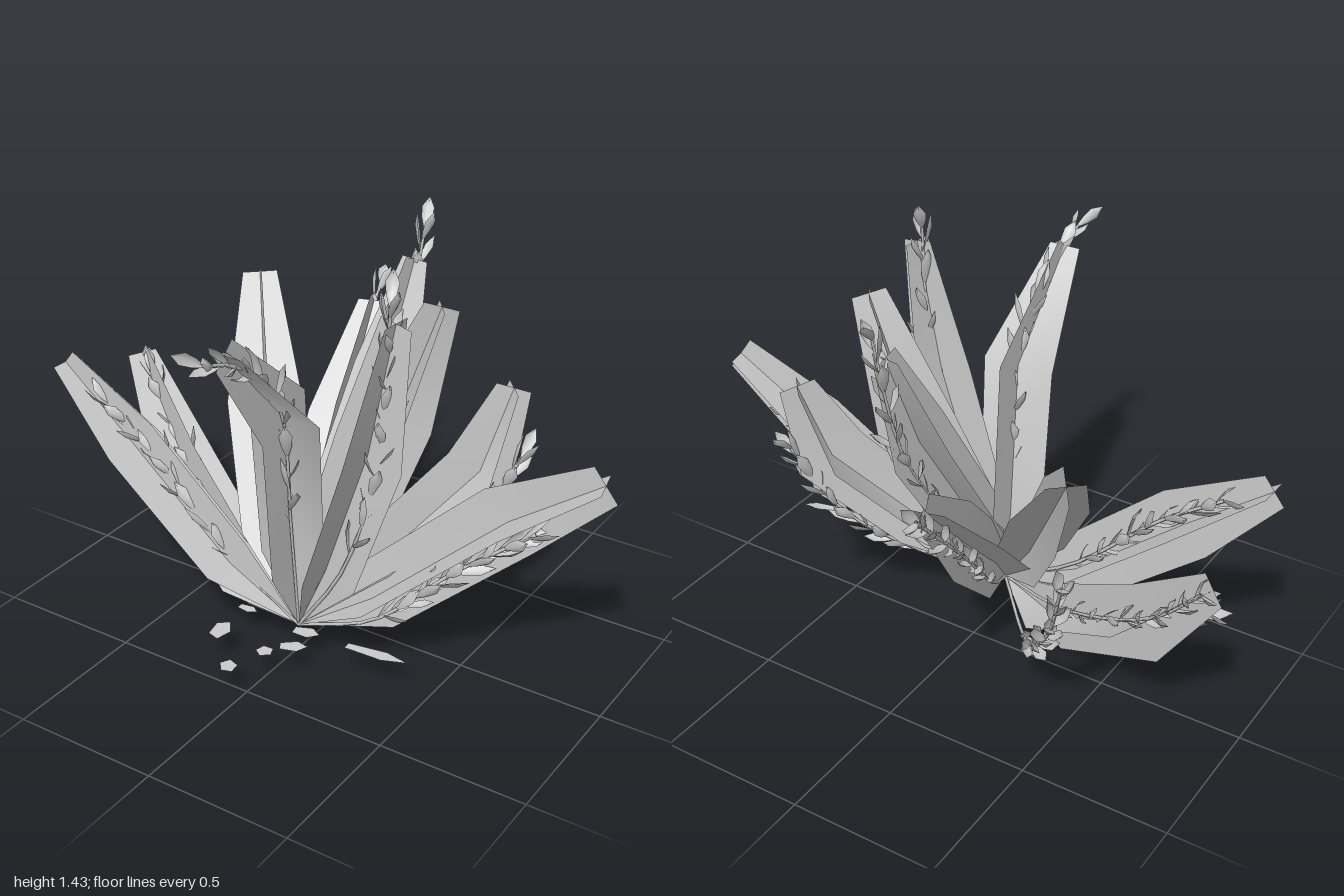
import * as THREE from 'three';
import { mergeGeometries } from 'three/addons/utils/BufferGeometryUtils.js';

const material = new THREE.MeshStandardMaterial({ color: 0xcccccc, side: THREE.DoubleSide });
const V = (a) => new THREE.Vector3(...a);
const ROOT = V([0.01, 0.11, 0.22]);

// Sheet through rows of equally many points
function sheet(rows) {
  const pos = [], idx = [], n = rows[0].length;
  rows.forEach((row, i) => {
    row.forEach((p) => pos.push(p.x, p.y, p.z));
    if (!i) return;
    for (let k = 0; k < n - 1; k++) {
      const a = (i - 1) * n + k, b = i * n + k;
      idx.push(a, a + 1, b + 1, a, b + 1, b);
    }
  });
  const g = new THREE.BufferGeometry();
  g.setAttribute('position', new THREE.Float32BufferAttribute(pos, 3));
  g.setIndex(idx);
  g.computeVertexNormals();
  return g;
}

// Broad blade: two sheets crossing along the centre line, one lying flat and one upright
function blade(centers, tipHalf) {
  const half = [0, 0.12, 0.128, tipHalf];
  const pts = [ROOT, ...centers.map(V)];
  const out = pts[3].clone().sub(ROOT);
  const across = new THREE.Vector3(-out.z, 0, out.x).normalize();
  const flat = [], upright = [];
  pts.forEach((c, i) => {
    const along = pts[Math.min(i + 1, 3)].clone().sub(pts[Math.max(i - 1, 0)]);
    const normal = along.cross(across).normalize();
    for (const [rows, w] of [[flat, across], [upright, normal]]) {
      rows.push([-1, 1].map((s) => c.clone().addScaledVector(w, s * half[i])));
    }
  });
  return mergeGeometries([sheet(flat), sheet(upright)]);
}

// Small folded leaflet from p along d
function leaflet(p, d, side, len) {
  const n = d.clone().cross(side).normalize();
  const w = n.clone().cross(d).normalize();
  const rows = [[0, 0.005], [0.3, 0.016], [0.65, 0.021], [1, 0.001]].map(([t, h]) => {
    const c = p.clone().addScaledVector(d, t * len);
    return [
      c.clone().addScaledVector(w, -h),
      c.clone().addScaledVector(n, h * 0.6),
      c.clone().addScaledVector(w, h),
    ];
  });
  return sheet(rows);
}

// Thin stem with leaflets spiralling up its outer part
function sprig(points) {
  const curve = new THREE.CatmullRomCurve3([ROOT, ...points.map(V)]);
  const stem = new THREE.TubeGeometry(curve, 12, 0.006, 4);
  const leaves = [];
  const count = 24;
  for (let i = 0; i < count; i++) {
    const t = 0.32 + 0.68 * (i / (count - 1));
    const p = curve.getPointAt(t), tan = curve.getTangentAt(t);
    const a = new THREE.Vector3(0.3, 0.2, 1).cross(tan).normalize();
    a.applyAxisAngle(tan, i * 2.4);
    const out = 0.4 + 0.18 * Math.sin(i * 1.7);
    const d = tan.clone().addScaledVector(a, out).normalize();
    leaves.push(leaflet(p, d, a.clone().cross(tan), 0.115 + 0.02 * Math.cos(i * 2.1)));
  }
  return [stem, mergeGeometries(leaves)];
}

export function createModel() {
  const model = new THREE.Group();
  model.name = 'plant';
  const add = (parent, name, geo) => {
    const m = new THREE.Mesh(geo, material);
    m.name = name;
    parent.add(m);
  };

  // Broad blades: centres of the two wide rows and the tip, then the tip's half width
  const blades = {
    frontBlade: [[[0.01, 0.37, 0.25], [0.02, 0.91, 0.3], [0.02, 1.23, 0.59]], 0.055],
    frontLeftBlade: [[[0.13, 0.37, 0.24], [0.29, 0.84, 0.25], [0.38, 1.29, 0.25]], 0.055],
    leftBlade: [[[0.25, 0.26, 0.15], [0.66, 0.62, 0.035], [0.955, 0.82, 0]], 0.07],
    backLeftOuterBlade: [[[0.23, 0.36, 0.05], [0.46, 0.65, -0.15], [0.525, 0.93, -0.23]], 0.06],
    backLeftInnerBlade: [[[0.1, 0.38, 0.12], [0.21, 0.8, -0.03], [0.36, 1.23, -0.05]], 0.057],
    backBlade: [[[0.03, 0.38, 0.09], [0.06, 0.87, -0.22], [0.08, 1.22, -0.36]], 0.05],
    backRightInnerBlade: [[[-0.06, 0.29, 0.05], [-0.15, 0.62, -0.3], [-0.22, 0.92, -0.6]], 0.057],
    backRightOuterBlade: [[[-0.16, 0.35, 0.09], [-0.36, 0.69, -0.13], [-0.565, 1.02, -0.4]], 0.06],
    rightRearBlade: [[[-0.26, 0.12, 0.1], [-0.67, 0.37, -0.07], [-0.95, 0.69, -0.2]], 0.055],
    rightBlade: [[[-0.27, 0.25, 0.215], [-0.66, 0.58, 0.21], [-0.95, 0.81, 0.2]], 0.058],
  };
  for (const [name, args] of Object.entries(blades)) add(model, name, blade(...args));

  // Leafy sprigs running beside the blades
  const sprigs = {
    frontSprig: [[0.02, 0.5, 0.27], [0.03, 0.98, 0.34], [0.04, 1.18, 0.54], [0.04, 1.25, 0.71]],
    frontLeftSprig: [[0.2, 0.4, 0.25], [0.32, 0.8, 0.24], [0.36, 1.34, 0.25]],
    leftSprig: [[0.27, 0.2, 0.18], [0.53, 0.44, 0.12], [0.76, 0.61, 0.04]],
    backLeftSprig: [[0.25, 0.2, 0.08], [0.45, 0.42, -0.12], [0.56, 0.69, -0.24]],
    backSprig: [[0.04, 0.38, 0.02], [0.07, 0.85, -0.29], [0.08, 1.31, -0.42]],
    backRightInnerSprig: [[-0.08, 0.25, 0], [-0.18, 0.6, -0.34], [-0.25, 0.95, -0.69]],
    backRightOuterSprig: [[-0.28, 0.17, -0.12], [-0.49, 0.43, -0.35], [-0.61, 0.74, -0.49]],
    rightRearSprig: [[-0.3, 0.18, 0.08], [-0.7, 0.42, -0.1], [-0.91, 0.65, -0.19]],
    rightLowSprig: [[-0.3, 0.15, 0.13], [-0.6, 0.25, 0.06], [-0.84, 0.41, 0.04]],
    rightSprig: [[-0.26, 0.27, 0.21], [-0.58, 0.57, 0.2], [-0.79, 0.72, 0.2]],
  };
  for (const [name, points] of Object.entries(sprigs)) {
    const group = new THREE.Group();
    group.name = name;
    const [stem, leaves] = sprig(points);
    add(group, 'stem', stem);
    add(group, 'leaflets', leaves);
    model.add(group);
  }

  // Fallen flakes lying flat round the root: x, z, half width, half depth, turn
  const flakes = [
    [-0.19, 0.38, 0.035, 0.055, 0.2], [-0.05, 0.53, 0.03, 0.035, 0.7], [-0.19, 0.23, 0.04, 0.02, 0],
    [0.06, 0.33, 0.05, 0.03, 0.5], [0.05, 0.24, 0.05, 0.03, 0.2], [0.3, 0.22, 0.12, 0.025, 0.1],
    [0.0, 0.4, 0.03, 0.03, 1],
  ];
  for (const [x, z, a, b, turn] of flakes) {
    const g = new THREE.CircleGeometry(1, 5);
    g.rotateX(-Math.PI / 2).scale(a, 1, b).rotateY(turn).translate(x, 0.106, z);
    add(model, 'fallenFlake', g);
  }
  return model;
}
